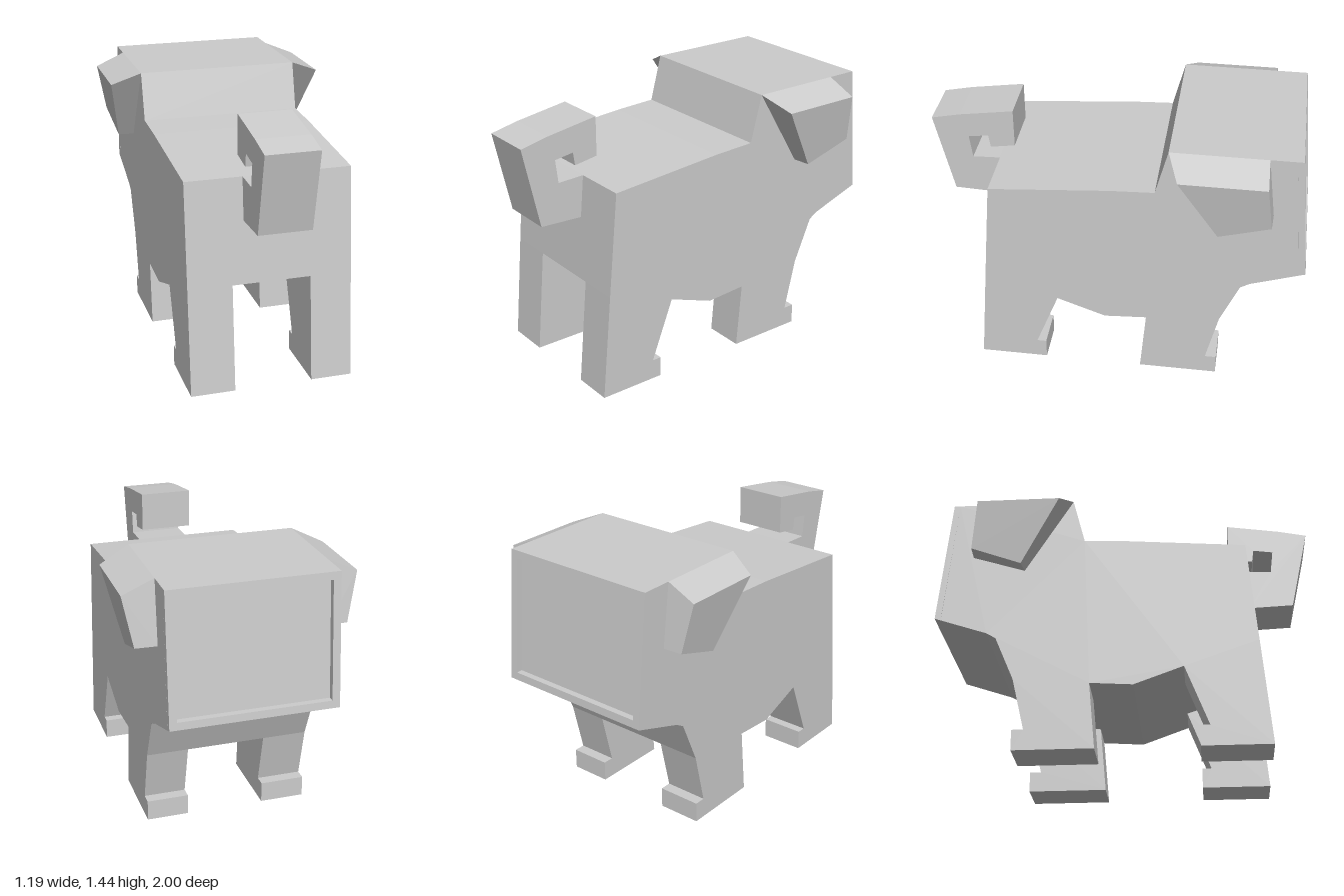
import * as THREE from 'three';
import { ConvexGeometry } from 'three/addons/geometries/ConvexGeometry.js';

const material = new THREE.MeshStandardMaterial({ color: 0xcccccc, flatShading: true });
const LEFT = 0.43, RIGHT = -0.44; // flanks of the body

// Side profile of [z, y] points, extruded across x from x0 to x1
function slab(name, profile, x0, x1) {
  const shape = new THREE.Shape(profile.map(([z, y]) => new THREE.Vector2(z, y)));
  const geometry = new THREE.ExtrudeGeometry(shape, { depth: x1 - x0, bevelEnabled: false });
  geometry.rotateY(-Math.PI / 2).translate(x1, 0, 0);
  const mesh = new THREE.Mesh(geometry, material);
  mesh.name = name;
  return mesh;
}

// z of the slanted face plane at height y
const faceZ = (y) => -0.935 - (1.44 - y) * (0.065 / 0.69);

export function createModel() {
  const model = new THREE.Group();
  model.name = 'dog';
  const recess = 0.033, rim = 0.04;

  // Torso and head, with the face set back by the recess
  model.add(slab('body', [
    [0.65, 1.13], [0.02, 1.18], [-0.21, 1.19], [-0.275, 1.44],
    [-0.935 + recess, 1.44], [-1 + recess, 0.739], [-0.72, 0.655], [-0.67, 0.625],
    [-0.57, 0.39], [-0.175, 0.355], [0.05, 0.34], [0.31, 0.435], [0.70, 0.572],
  ], RIGHT, LEFT));

  // Raised rim around the face
  const strip = (yTop, yLow, yLowBack = yLow) => [
    [faceZ(yTop), yTop], [faceZ(yLow), yLow],
    [faceZ(yLow) + recess, yLowBack], [faceZ(yTop) + recess, yTop],
  ];
  const faceRim = new THREE.Group();
  faceRim.name = 'faceRim';
  faceRim.add(
    slab('rimTop', strip(1.44, 1.44 - rim), RIGHT, LEFT),
    slab('rimBottom', strip(0.75 + rim, 0.75, 0.739), RIGHT, LEFT),
    slab('rimRight', strip(1.44 - rim, 0.75 + rim), RIGHT, RIGHT + rim),
    slab('rimLeft', strip(1.44 - rim, 0.75 + rim), LEFT - rim, LEFT),
  );
  model.add(faceRim);

  // Legs with small paw steps
  const frontLeg = [
    [-0.57, 0.39], [-0.505, 0.11], [-0.565, 0.11], [-0.565, 0], [-0.145, 0], [-0.175, 0.355],
  ];
  const hindLeg = [
    [0.31, 0.435], [0.435, 0.11], [0.385, 0.11], [0.385, 0], [0.75, 0], [0.70, 0.572],
  ];
  for (const [side, x0, x1] of [['Left', 0.21, LEFT], ['Right', RIGHT, -0.205]]) {
    model.add(slab('frontLeg' + side, frontLeg, x0, x1));
    model.add(slab('hindLeg' + side, hindLeg, x0, x1));
  }

  // Folded ears, tapering outwards and down
  for (const [side, s, root] of [['Left', 1, LEFT], ['Right', -1, -RIGHT]]) {
    const corners = [
      [root, 1.44, -0.275], [root, 1.44, -0.77], [root, 1.11, -0.81], [root, 1.02, -0.53],
      [0.595, 1.37, -0.335], [0.595, 1.37, -0.775], [0.543, 1.11, -0.805], [0.525, 1.02, -0.54],
    ].map(([x, y, z]) => new THREE.Vector3(s * x, y, z));
    const ear = new THREE.Mesh(new ConvexGeometry(corners), material);
    ear.name = 'ear' + side;
    model.add(ear);
  }

  // Curled tail
  model.add(slab('tail', [
    [0.65, 1.13], [0.67, 0.905], [0.905, 0.915], [1, 1.35], [0.85, 1.382], [0.565, 1.425],
    [0.565, 1.215], [0.695, 1.195], [0.705, 1.265], [0.81, 1.25], [0.795, 1.125],
  ], -0.14, 0.14));

  return model;
}
